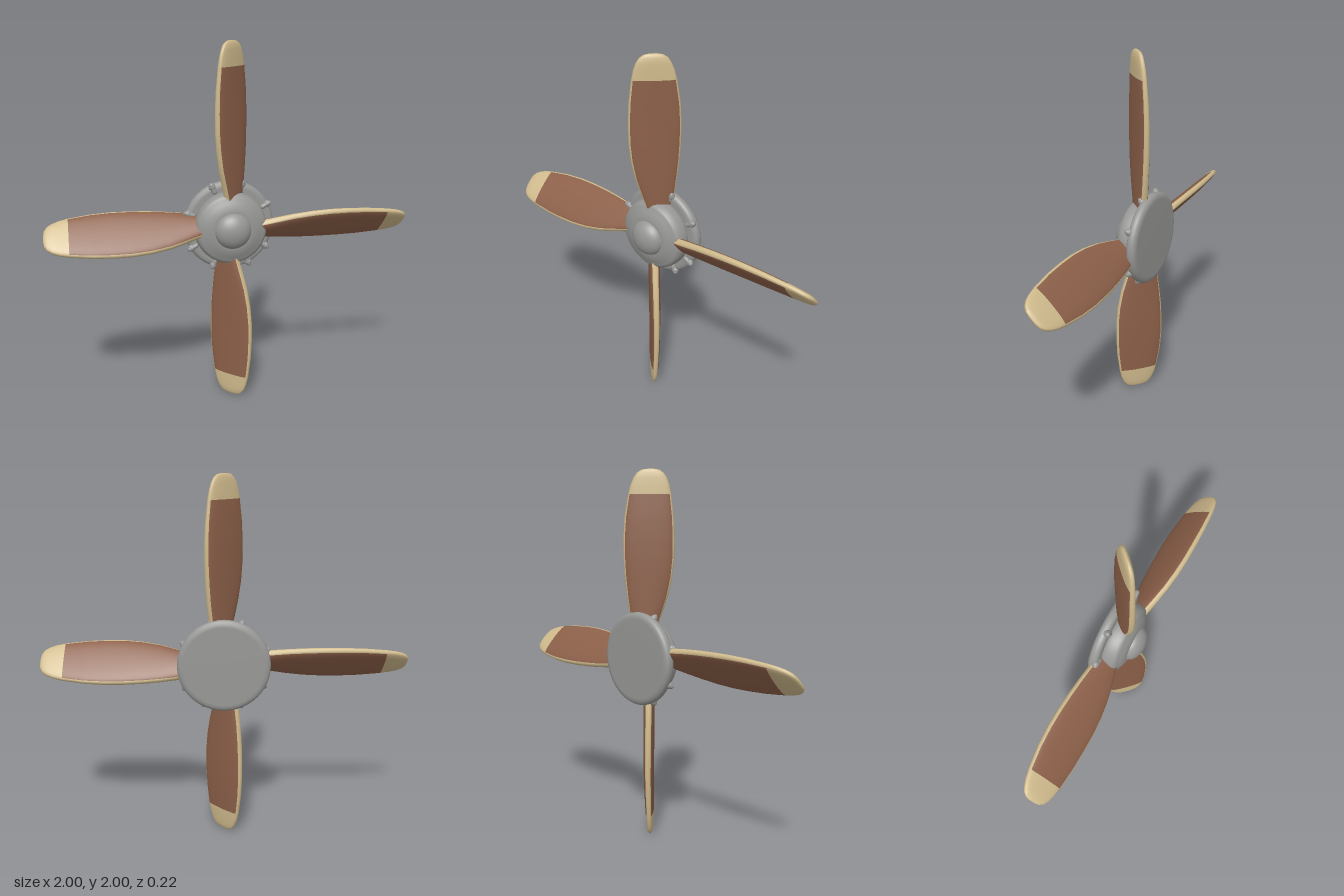
import * as THREE from 'three';

const paint = (name, color) => {
  const m = new THREE.MeshStandardMaterial({ color });
  m.name = name;
  return m;
};

// Blade stations: radius, half chord, half thickness, sideways offset, depth offset
const STATIONS = [
  [0.10, 0.050, 0.030, 0.015, -0.025],
  [0.18, 0.070, 0.031, 0.015, -0.023],
  [0.26, 0.093, 0.031, 0.011, -0.019],
  [0.34, 0.112, 0.030, 0.006, -0.014],
  [0.44, 0.128, 0.030, 0.002, -0.011],
  [0.54, 0.136, 0.029, 0, -0.010],
  [0.64, 0.137, 0.028, 0, -0.010],
  [0.75, 0.131, 0.026, 0, -0.008],
  [0.87, 0.114, 0.023, 0, -0.004],
  [0.92, 0.102, 0.021, 0, -0.002],
  [0.955, 0.088, 0.019, 0, 0],
  [0.98, 0.071, 0.016, 0, 0],
  [0.995, 0.048, 0.010, 0, 0],
  [1.00, 0.022, 0.004, 0, 0],
  [1.00, 0, 0, 0, 0],
];

// Pitched blade pointing up +y; group 0 is the wood face, group 1 the pale edge and tip
function bladeGeometry() {
  const sides = 32, pos = [], face = [], edge = [];
  const power = (v, p) => Math.sign(v) * Math.abs(v) ** p;
  for (const [r, a, b, ox, oz] of STATIONS) {
    for (let j = 0; j < sides; j++) {
      const t = (j / sides) * Math.PI * 2;
      const u = a * Math.cos(t), v = b * power(Math.sin(t), 0.65);
      pos.push(ox + (u + v) * Math.SQRT1_2, r, oz + (v - u) * Math.SQRT1_2);
    }
  }
  for (let i = 0; i < STATIONS.length - 1; i++) {
    for (let j = 0; j < sides; j++) {
      const k = (j + 1) % sides;
      const a = i * sides + j, b = i * sides + k, c = a + sides, d = b + sides;
      const fromEdge = Math.abs(((j + 0.5 + 8) % 16) - 8);
      const pale = STATIONS[i][0] >= 0.87 || fromEdge < 2;
      (pale ? edge : face).push(a, c, b, b, c, d);
    }
  }
  const g = new THREE.BufferGeometry();
  g.setAttribute('position', new THREE.Float32BufferAttribute(pos, 3));
  g.setIndex([...face, ...edge]);
  g.addGroup(0, face.length, 0);
  g.addGroup(face.length, edge.length, 1);
  g.computeVertexNormals();
  return g;
}

// Turned part about the z axis, from [radius, z] points
function turned(points, name, material) {
  const g = new THREE.LatheGeometry(points.map(([r, z]) => new THREE.Vector2(r, z)), 64);
  g.rotateX(Math.PI / 2);
  const mesh = new THREE.Mesh(g, material);
  mesh.name = name;
  return mesh;
}

export function createModel() {
  const metal = paint('grey metal', 0x979795);
  const wood = paint('brown wood', 0x8c6049);
  const trim = paint('pale tan', 0xcfba8c);

  const model = new THREE.Group();
  model.name = 'propeller';
  const rotor = new THREE.Group();
  rotor.name = 'rotor';
  rotor.position.y = 1;
  model.add(rotor);

  // Blades
  const blade = bladeGeometry();
  for (let k = 0; k < 4; k++) {
    const mesh = new THREE.Mesh(blade, [wood, trim]);
    mesh.name = 'blade';
    mesh.rotation.z = (k * Math.PI) / 2;
    rotor.add(mesh);
  }

  // Rounded back plate
  rotor.add(turned([
    [0, -0.112], [0.215, -0.112], [0.232, -0.110], [0.245, -0.103], [0.251, -0.092],
    [0.251, -0.076], [0.246, -0.064], [0.235, -0.057], [0.22, -0.055], [0, -0.055],
  ], 'backPlate', metal));

  // Hub drum with a rim and sloping shoulder
  rotor.add(turned([
    [0.19, -0.060], [0.198, -0.050], [0.200, -0.035], [0.199, -0.010], [0.195, 0.010],
    [0.186, 0.023], [0.175, 0.029], [0.164, 0.032], [0.15, 0.040], [0.125, 0.049],
    [0.10, 0.054], [0, 0.056],
  ], 'hubDrum', metal));

  // Domed nose
  const nose = [];
  for (let i = 0; i <= 10; i++) {
    const t = (i / 10) * Math.PI / 2;
    nose.push([0.1 * Math.cos(t), 0.045 + 0.066 * Math.sin(t)]);
  }
  rotor.add(turned(nose, 'noseDome', metal));

  // Fittings around the plate: a short radial stub with a rounded head
  const stub = new THREE.CapsuleGeometry(0.014, 0.04, 6, 12);
  const head = new THREE.SphereGeometry(0.02, 16, 12);
  for (const deg of [28, 73, 113, 161, 209, 248, 296, 328]) {
    const fitting = new THREE.Group();
    fitting.name = 'fitting';
    fitting.rotation.z = THREE.MathUtils.degToRad(deg - 90);
    const pin = new THREE.Mesh(stub, metal);
    pin.name = 'fittingStub';
    pin.position.set(0, 0.232, -0.057);
    const knob = new THREE.Mesh(head, metal);
    knob.name = 'fittingHead';
    knob.position.set(0, 0.242, -0.062);
    fitting.add(pin, knob);
    rotor.add(fitting);
  }
  return model;
}
